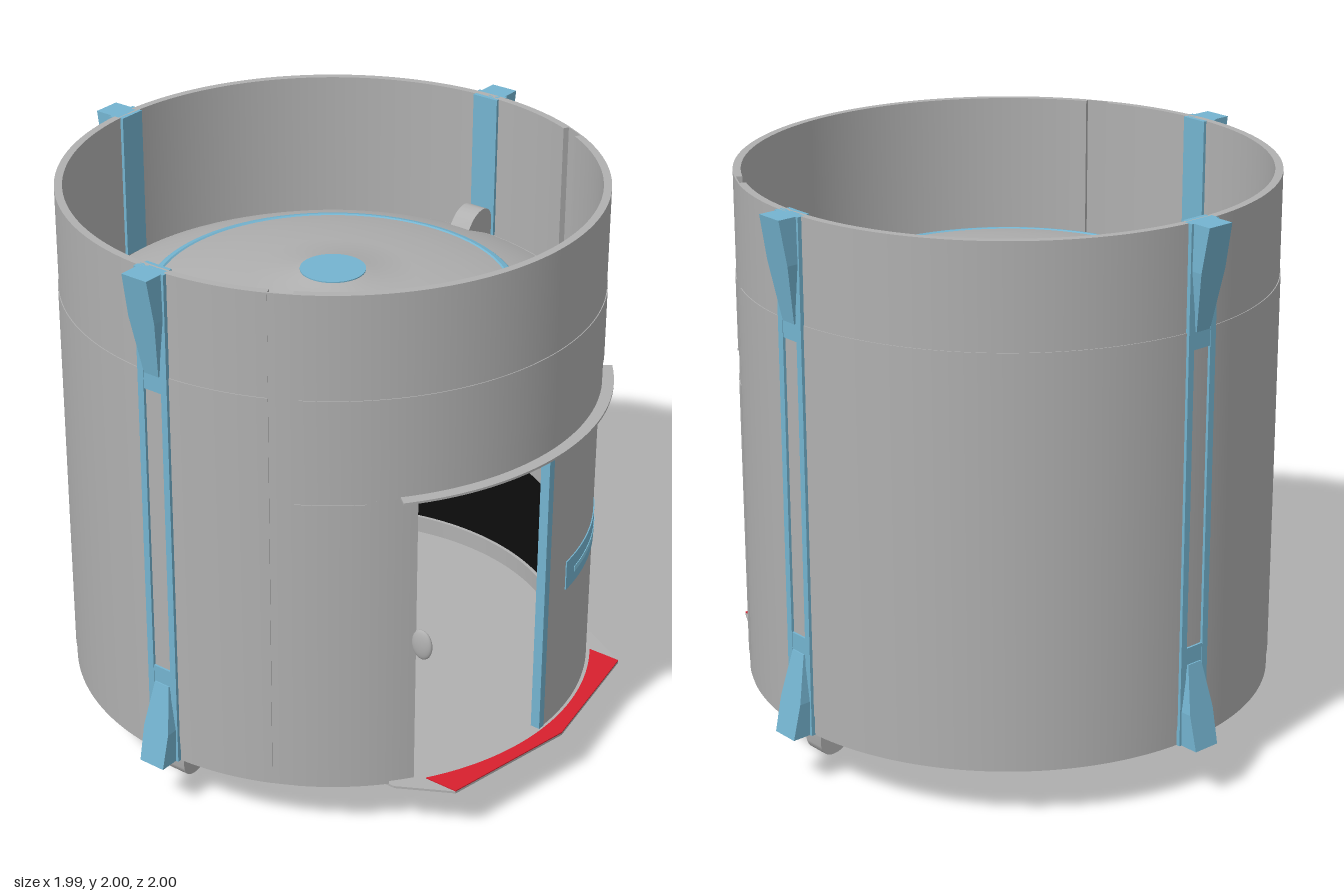
import * as THREE from 'three';
import { toCreasedNormals } from 'three/addons/utils/BufferGeometryUtils.js';

const paint = (name, color) => {
  const m = new THREE.MeshStandardMaterial({ color, side: THREE.DoubleSide });
  m.name = name;
  return m;
};

export function createModel() {
  const model = new THREE.Group();
  model.name = 'cylindricalModule';
  const grey = paint('hullGrey', 0xb0b0b0);
  const blue = paint('trimBlue', 0x74b4d0);
  const paleBlue = paint('grooveBlue', 0x86cbe6);
  const red = paint('stepRed', 0xd8202e);
  const black = paint('liningBlack', 0x0d0d0d);
  const purple = paint('ceilingPurple', 0x900090);

  const add = (name, geo, mat, parent = model) => {
    const mesh = new THREE.Mesh(geo, mat);
    mesh.name = name;
    parent.add(mesh);
    return mesh;
  };
  const rad = THREE.MathUtils.degToRad;

  // Flat plan shape (x, z) raised from y0 to y1
  const slab = (shape, y0, y1) => {
    const g = new THREE.ExtrudeGeometry(shape, { depth: y1 - y0, bevelEnabled: false, curveSegments: 72 });
    g.rotateX(Math.PI / 2).translate(0, y1, 0);
    return toCreasedNormals(g, 0.5);
  };
  // Curved wall between two radii; angles in degrees from +x towards +z
  const wall = (name, mat, r0, r1, y0, y1, a0, a1) => {
    const s = new THREE.Shape();
    s.absarc(0, 0, r1, rad(a0), rad(a1), false);
    s.absarc(0, 0, r0, rad(a1), rad(a0), true);
    return add(name, slab(s, y0, y1), mat);
  };
  const lathe = (name, mat, pts) =>
    add(name, toCreasedNormals(new THREE.LatheGeometry(pts.map(p => new THREE.Vector2(...p)), 72), 0.4), mat);

  // Outer shell, open around the doorway
  wall('mainShell', grey, 0.893, 0.92, 0.19, 2, 65, 295);
  wall('shellAboveDoor', grey, 0.893, 0.92, 1.28, 2, -60, 60);
  wall('mainPanel', grey, 0.918, 0.923, 0.26, 1.64, 65, 295);
  wall('panelAboveDoor', grey, 0.918, 0.923, 1.39, 1.64, -59, 59);
  for (const s of [-1, 1]) {
    const side = (name, mat, r0, r1, y0, y1, a, b) =>
      wall(name, mat, r0, r1, y0, y1, s > 0 ? a : -b, s > 0 ? b : -a);
    side('shellBesideDoor', grey, 0.893, 0.92, 0.19, 1.28, 40.7, 60);
    side('shellJoint', grey, 0.914, 0.919, 0.19, 2, 60, 65);
    side('panelBesideDoor', grey, 0.918, 0.923, 0.26, 1.27, 45.8, 60);
    side('doorJamb', grey, 0.83, 0.89, 0.19, 1.28, 37, 41);
  }

  // Inner cabin
  wall('cabinWall', grey, 0.84, 0.85, 0.19, 1.5, 37, 323);
  wall('cabinWallAboveDoor', grey, 0.84, 0.85, 1.28, 1.5, -37, 37);
  wall('cabinLining', black, 0.825, 0.84, 0.2, 1.42, 37, 323);
  wall('liningAboveDoor', black, 0.825, 0.84, 1.28, 1.42, -37, 37);
  wall('wallBand', grey, 0.812, 0.826, 0.66, 0.81, 37, 323);
  wall('skirting', grey, 0.812, 0.826, 0.2, 0.265, 37, 323);
  wall('doorHeader', grey, 0.83, 0.9, 1.28, 1.3, -41, 41);
  add('floor', new THREE.CircleGeometry(0.845, 72).rotateX(-Math.PI / 2).translate(0, 0.2, 0), grey);
  add('ceiling', new THREE.CircleGeometry(0.84, 72).rotateX(Math.PI / 2).translate(0, 1.42, 0), purple);

  // Upper dome with its ring and hatch
  lathe('upperDome', grey, [[0.85, 1.49], [0.84, 1.505], [0.74, 1.55], [0.62, 1.586], [0.45, 1.62],
    [0.28, 1.642], [0.14, 1.652], [0.12, 1.66], [0, 1.66]]);
  lathe('upperRing', blue, [[0.632, 1.584], [0.625, 1.59], [0.605, 1.595], [0.6, 1.591]]);
  add('hatchDisc', new THREE.CylinderGeometry(0.112, 0.112, 0.008, 48).translate(0, 1.66, 0), blue);

  // Lower heat shield with two thin rings
  lathe('lowerShield', grey, [[0, 0], [0.32, 0.004], [0.4, 0.015], [0.48, 0.035], [0.74, 0.125],
    [0.845, 0.165], [0.85, 0.19]]);
  lathe('outerShieldRing', blue, [[0.738, 0.121], [0.754, 0.127]]);
  lathe('innerShieldRing', blue, [[0.482, 0.032], [0.494, 0.036]]);

  // Sliding door: one leaf closed, one pushed into the wall
  wall('closedDoor', grey, 0.885, 0.912, 0.19, 1.28, -41, 0);
  wall('doorEdge', blue, 0.88, 0.915, 0.19, 1.28, 0, 1.7);
  wall('handlePlate', blue, 0.911, 0.916, 0.68, 0.79, -39.5, -7);
  wall('insideHandlePlate', blue, 0.881, 0.886, 0.68, 0.79, -39.5, -7);
  wall('handleGroove', paleBlue, 0.914, 0.918, 0.72, 0.74, -33, -11);
  wall('openDoor', grey, 0.885, 0.905, 0.19, 1.28, 35, 41);
  add('openDoorKnob', new THREE.SphereGeometry(1, 24, 16).scale(0.04, 0.055, 0.015).translate(0.77, 0.73, 0.525), grey);

  // Awning and pointed doorstep
  wall('awning', grey, 0.9, 0.96, 1.278, 1.286, -39, 39);
  const plan = pts => new THREE.Shape(pts.map(p => new THREE.Vector2(...p)));
  add('doorstep', slab(plan([[0.6, -0.6], [0.72, -0.6], [0.9, -0.5], [0.99, 0], [0.9, 0.5],
    [0.72, 0.6], [0.6, 0.6]]), 0.182, 0.19), grey);
  const edge = plan([[0.9, -0.5], [0.99, 0], [0.9, 0.5]]);
  const a = Math.asin(0.5 / 0.925);
  edge.absarc(0, 0, 0.925, a, -a, true);
  add('doorstepMarking', slab(edge, 0.19, 0.194), red);

  // Wedge: half widths and outer reach for its thin, middle and thick levels
  const wedge = (yThin, yThick) => {
    const g = new THREE.BoxGeometry(1, 2, 1, 1, 2, 1);
    const p = g.attributes.position;
    const rows = [[0.03, 0.935], [0.053, 0.972], [0.05, 1]];
    const up = yThick > yThin;
    for (let i = 0; i < p.count; i++) {
      const level = Math.round(up ? p.getY(i) + 1 : 1 - p.getY(i));
      const [w, reach] = rows[level];
      p.setXYZ(i, Math.sign(p.getX(i)) * w, THREE.MathUtils.lerp(yThin, yThick, [0, 0.57, 1][level]),
        p.getZ(i) > 0 ? reach : 0.9);
    }
    const flat = g.toNonIndexed();
    flat.computeVertexNormals();
    return flat;
  };
  const box = (x0, x1, y0, y1, z0, z1) => new THREE.BoxGeometry(x1 - x0, y1 - y0, z1 - z0)
    .translate((x0 + x1) / 2, (y0 + y1) / 2, (z0 + z1) / 2);

  // Vertical braces on the front, back and right
  for (const turn of [0, Math.PI, -Math.PI / 2]) {
    const brace = new THREE.Group();
    brace.name = 'brace';
    brace.rotation.y = turn;
    for (const s of [-1, 1]) add('braceRail', box(s * 0.048 - 0.012, s * 0.048 + 0.012, 0.19, 2, 0.9, 0.932), blue, brace);
    add('braceTopPlate', box(-0.04, 0.04, 1.58, 2, 0.9, 0.93), blue, brace);
    add('braceBottomPlate', box(-0.04, 0.04, 0.19, 0.54, 0.9, 0.93), blue, brace);
    add('braceInnerPlate', box(-0.05, 0.05, 1.48, 2, 0.88, 0.896), blue, brace);
    add('topWedge', wedge(1.64, 2), blue, brace);
    add('bottomWedge', wedge(0.48, 0.19), blue, brace);
    model.add(brace);
  }

  // Rounded hooks holding the cabin, above and below, front and back
  const hook = new THREE.Shape();
  hook.moveTo(0.71, 0.17);
  hook.lineTo(0.76, 0.11);
  hook.quadraticCurveTo(0.79, 0.08, 0.83, 0.08);
  hook.quadraticCurveTo(0.875, 0.085, 0.88, 0.13);
  hook.lineTo(0.88, 0.2);
  hook.lineTo(0.71, 0.2);
  const lower = toCreasedNormals(new THREE.ExtrudeGeometry(hook, { depth: 0.08, bevelEnabled: false })
    .translate(0, 0, -0.04).rotateY(-Math.PI / 2), 0.5);
  for (const turn of [0, Math.PI]) {
    const hooks = new THREE.Group();
    hooks.name = 'hooks';
    hooks.rotation.y = turn;
    add('lowerHook', lower, grey, hooks);
    // Half a turn about z flips the same hook upwards
    const upper = add('upperHook', lower, grey, hooks);
    upper.rotation.z = Math.PI;
    upper.position.y = 1.68;
    model.add(hooks);
  }
  return model;
}
